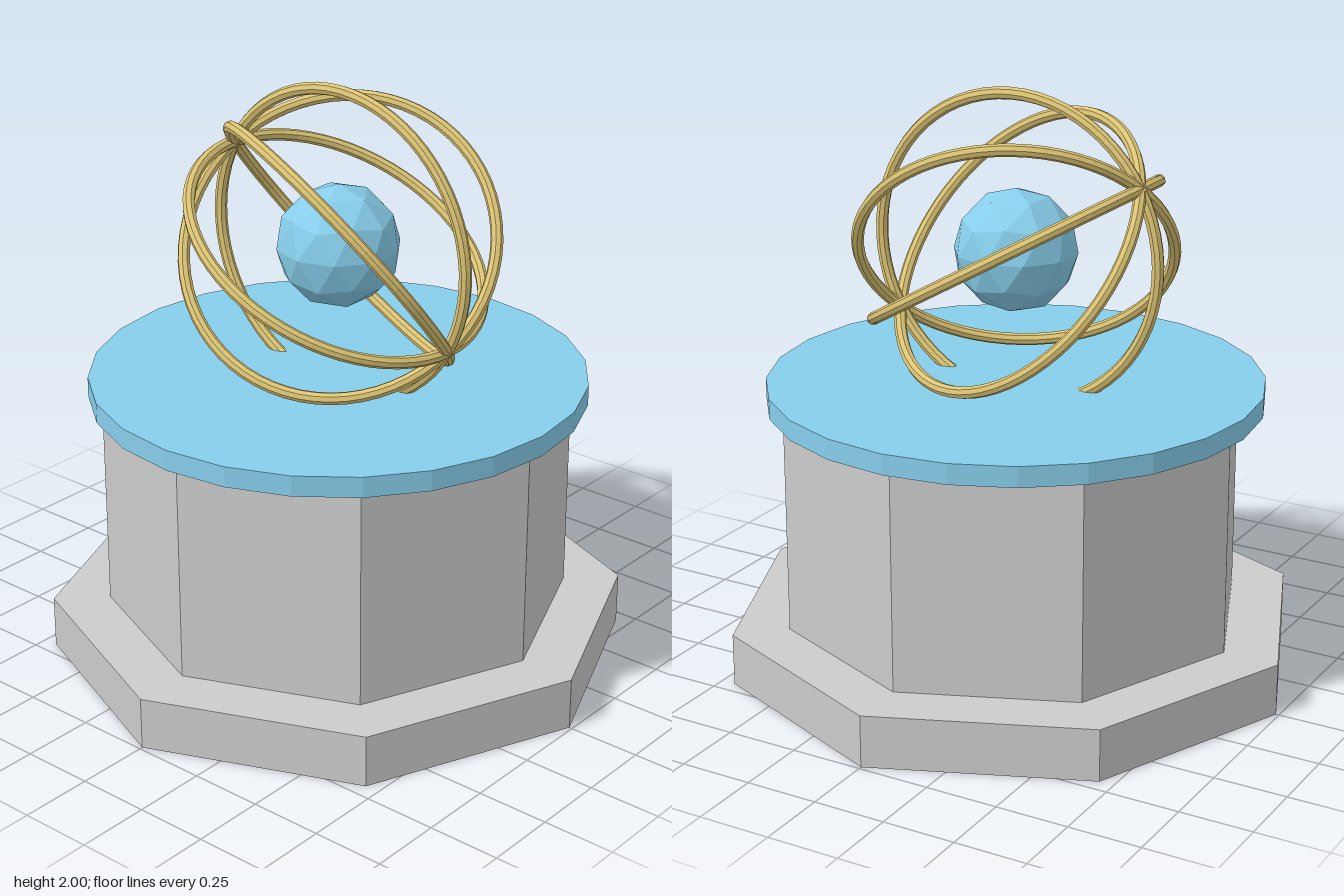
import * as THREE from 'three';

const flat = (color) => new THREE.MeshStandardMaterial({ color, flatShading: true });

export function createModel() {
  const model = new THREE.Group();
  const grey = flat(0xcccccc);
  const blue = flat(0x87ceeb);
  const gold = flat(0xdcc474);

  const add = (parent, name, geometry, material, y = 0) => {
    const mesh = new THREE.Mesh(geometry, material);
    mesh.name = name;
    mesh.position.y = y;
    parent.add(mesh);
    return mesh;
  };

  // Stacked pedestal: upright prism from y0 to y1
  const prism = (name, radius, y0, y1, sides, material) =>
    add(model, name, new THREE.CylinderGeometry(radius, radius, y1 - y0, sides), material, (y0 + y1) / 2);
  prism('plinth', 0.99, 0, 0.18, 8, grey);
  prism('column', 0.795, 0.18, 0.94, 8, grey);
  prism('tableDisc', 0.84, 0.94, 1.01, 24, blue);

  // Armillary sphere: rings sharing one tilted axis
  const armillary = new THREE.Group();
  armillary.name = 'armillary';
  armillary.position.y = 1.455;
  model.add(armillary);

  const rings = new THREE.Group();
  rings.name = 'rings';
  rings.rotation.z = -Math.PI / 6;
  armillary.add(rings);
  const ringGeometry = new THREE.TorusGeometry(0.524, 0.021, 8, 64);
  for (let i = 0; i < 4; i++) {
    add(rings, `ring${i + 1}`, ringGeometry, gold).rotation.x = (i * Math.PI) / 4;
  }

  // Faceted globe, turned so that one corner points straight up
  const globe = new THREE.IcosahedronGeometry(0.21, 1);
  globe.rotateX(-Math.atan((1 + Math.sqrt(5)) / 2));
  globe.rotateY(Math.PI / 2);
  add(armillary, 'globe', globe, blue);

  return model;
}
